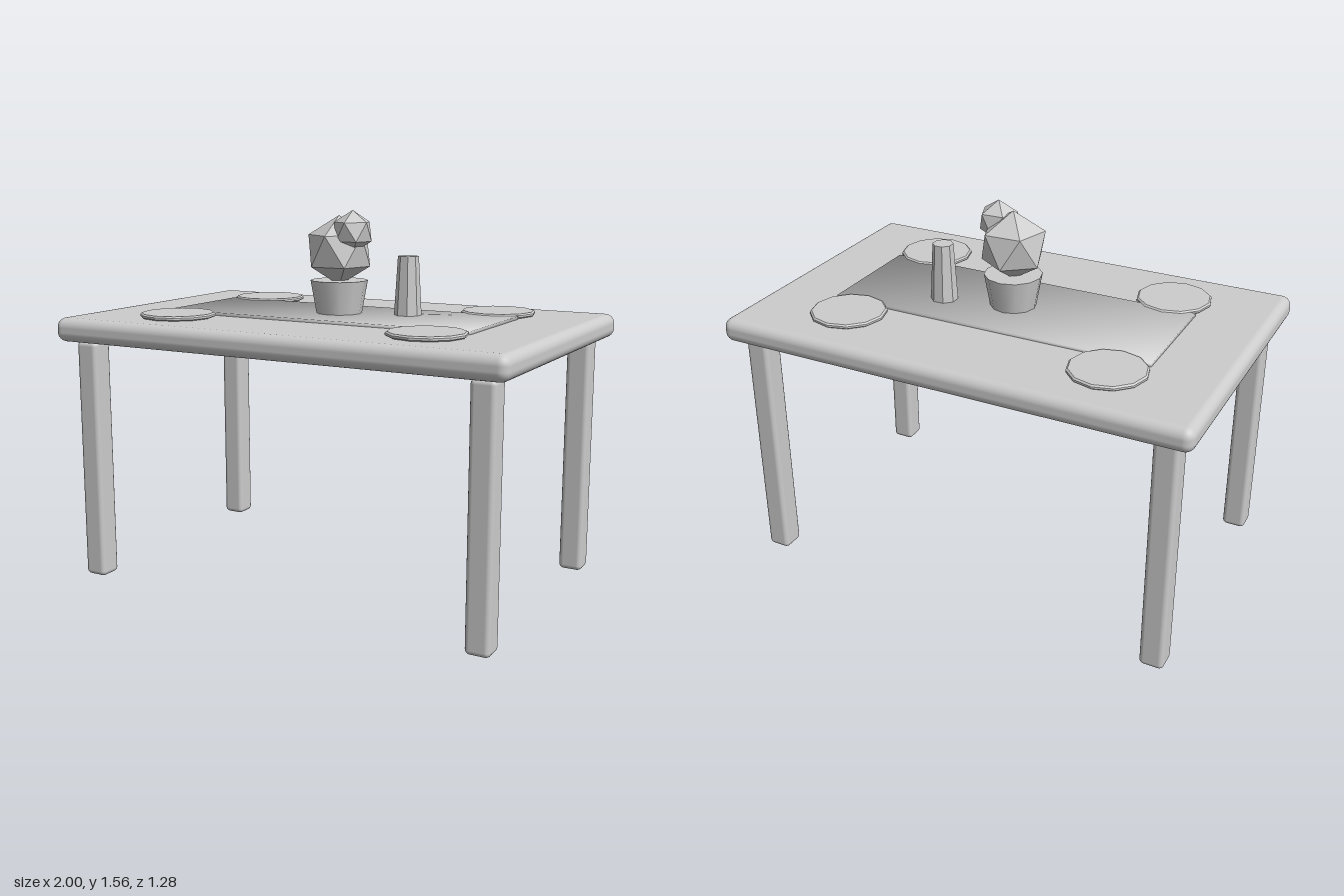
import * as THREE from 'three';
import { RoundedBoxGeometry } from 'three/addons/geometries/RoundedBoxGeometry.js';

export function createModel() {
  const model = new THREE.Group();
  model.name = 'diningTable';
  const grey = new THREE.MeshStandardMaterial({ color: 0xcccccc });
  grey.name = 'plain grey';

  const add = (name, geometry, x, y, z) => {
    const mesh = new THREE.Mesh(geometry, grey);
    mesh.name = name;
    mesh.position.set(x, y, z);
    model.add(mesh);
    return mesh;
  };
  // Give every face its own flat normal
  const faceted = (geometry) => {
    const flat = geometry.toNonIndexed();
    flat.computeVertexNormals();
    return flat;
  };

  // Table top with softened edges
  add('tableTop', new RoundedBoxGeometry(2, 0.1, 1.28, 4, 0.04), 0, 1.07, 0);

  // Four square legs and a place setting at each corner
  const legGeometry = new RoundedBoxGeometry(0.1, 1.02, 0.1, 3, 0.02);
  const plateGeometry = faceted(new THREE.LatheGeometry([
    [0, 0], [0.148, 0], [0.157, 0.006], [0.157, 0.014], [0.15, 0.02], [0, 0.02],
  ].map(([r, y]) => new THREE.Vector2(r, y)), 12));
  for (const sx of [-1, 1]) {
    for (const sz of [-1, 1]) {
      const corner = (sz > 0 ? 'front' : 'back') + (sx > 0 ? 'Left' : 'Right');
      add(corner + 'Leg', legGeometry, sx * 0.885, 0.51, sz * 0.53);
      add(corner + 'Plate', plateGeometry, sx * 0.57, 1.119, sz * 0.358);
    }
  }

  // Table runner, softly shaded with normals leaning out at its corners
  const runner = new THREE.BoxGeometry(1.4, 0.018, 0.5);
  const p = runner.attributes.position;
  for (let i = 0; i < p.count; i++) {
    const n = new THREE.Vector3(Math.sign(p.getX(i)), Math.sign(p.getY(i)), Math.sign(p.getZ(i))).normalize();
    runner.attributes.normal.setXYZ(i, n.x, n.y, n.z);
  }
  add('tableRunner', runner, 0, 1.124, 0);

  // Tapered flower pot
  add('plantPot', new THREE.CylinderGeometry(0.12, 0.095, 0.14, 12), 0, 1.2, 0);

  // Foliage: two faceted balls standing on a point
  const ball = (radius) => new THREE.IcosahedronGeometry(radius, 0)
    .rotateZ(Math.atan(2 / (1 + Math.sqrt(5))))
    .rotateY(Math.PI / 9);
  add('largeFoliage', ball(0.145), 0, 1.393, 0);
  add('smallFoliage', ball(0.087), 0.08, 1.474, 0.03);

  // Eight-sided tapered shaker
  const shaker = new THREE.CylinderGeometry(0.043, 0.057, 0.243, 8).rotateY(Math.PI / 8);
  add('shaker', faceted(shaker), 0.284, 1.254, -0.073);

  return model;
}
